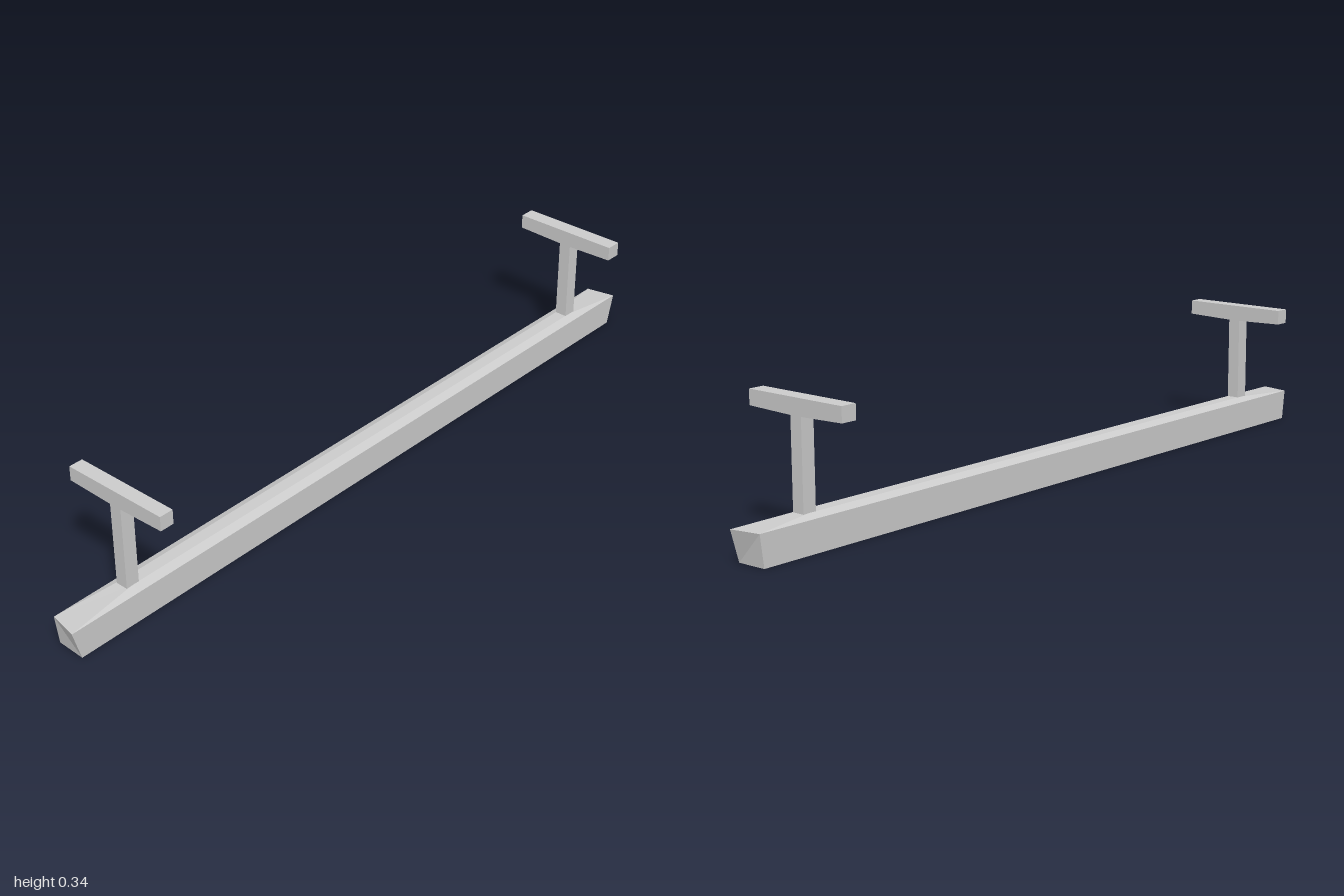
import * as THREE from 'three';

const material = new THREE.MeshStandardMaterial({ color: 0xcccccc, flatShading: true });

// Skin a series of equal-length rings and close both ends
function loft(rings) {
  const n = rings[0].length;
  const pos = [];
  const tri = (a, b, c) => pos.push(...a, ...b, ...c);
  for (let i = 0; i < rings.length - 1; i++) {
    for (let j = 0; j < n; j++) {
      const k = (j + 1) % n;
      const [a, b, c, d] = [rings[i][j], rings[i][k], rings[i + 1][k], rings[i + 1][j]];
      tri(a, b, c);
      tri(a, c, d);
    }
  }
  const first = rings[0], last = rings[rings.length - 1];
  for (let j = 1; j < n - 1; j++) {
    tri(first[0], first[j + 1], first[j]);
    tri(last[0], last[j], last[j + 1]);
  }
  const geometry = new THREE.BufferGeometry();
  geometry.setAttribute('position', new THREE.Float32BufferAttribute(pos, 3));
  geometry.computeVertexNormals();
  return geometry;
}

function addMesh(parent, name, geometry, x = 0, y = 0, z = 0) {
  const mesh = new THREE.Mesh(geometry, material);
  mesh.name = name;
  mesh.position.set(x, y, z);
  parent.add(mesh);
}

// Beam ends slant outward toward the top; the ridge fades into their corners
function endRing(side) {
  const frontTop = [side, 0.078, 0.038];
  const backTop = [side * 0.985, 0.078, -0.038];
  return [[side * 0.978, 0, 0.038], [side * 0.975, 0, -0.038], backTop, backTop, frontTop, frontTop];
}

// Beam section with a narrow raised flat along the top
function midRing(x) {
  return [[x, 0, 0.038], [x, 0, -0.038], [x, 0.078, -0.038],
    [x, 0.087, -0.016], [x, 0.087, 0.016], [x, 0.078, 0.038]];
}

export function createModel() {
  const model = new THREE.Group();
  addMesh(model, 'beam', loft([endRing(-1), midRing(-0.8), midRing(0.823), endRing(1)]));

  // Two T-shaped supports
  const supports = [
    { name: 'rightSupport', x: -0.801, width: 0.037 },
    { name: 'leftSupport', x: 0.823, width: 0.041 },
  ];
  for (const { name, x, width } of supports) {
    const support = new THREE.Group();
    support.name = name;
    model.add(support);
    addMesh(support, 'post', new THREE.BoxGeometry(0.036, 0.225, 0.033), x, 0.1905, 0);

    // Crossbar whose underside dips slightly in the middle
    const bar = new THREE.BoxGeometry(width, 0.037, 0.288, 1, 1, 2);
    const p = bar.attributes.position;
    for (let i = 0; i < p.count; i++) {
      if (p.getY(i) < 0 && Math.abs(p.getZ(i)) < 0.01) p.setY(i, p.getY(i) - 0.004);
    }
    bar.computeVertexNormals();
    addMesh(support, 'crossbar', bar, x, 0.3235, 0);
  }
  return model;
}
